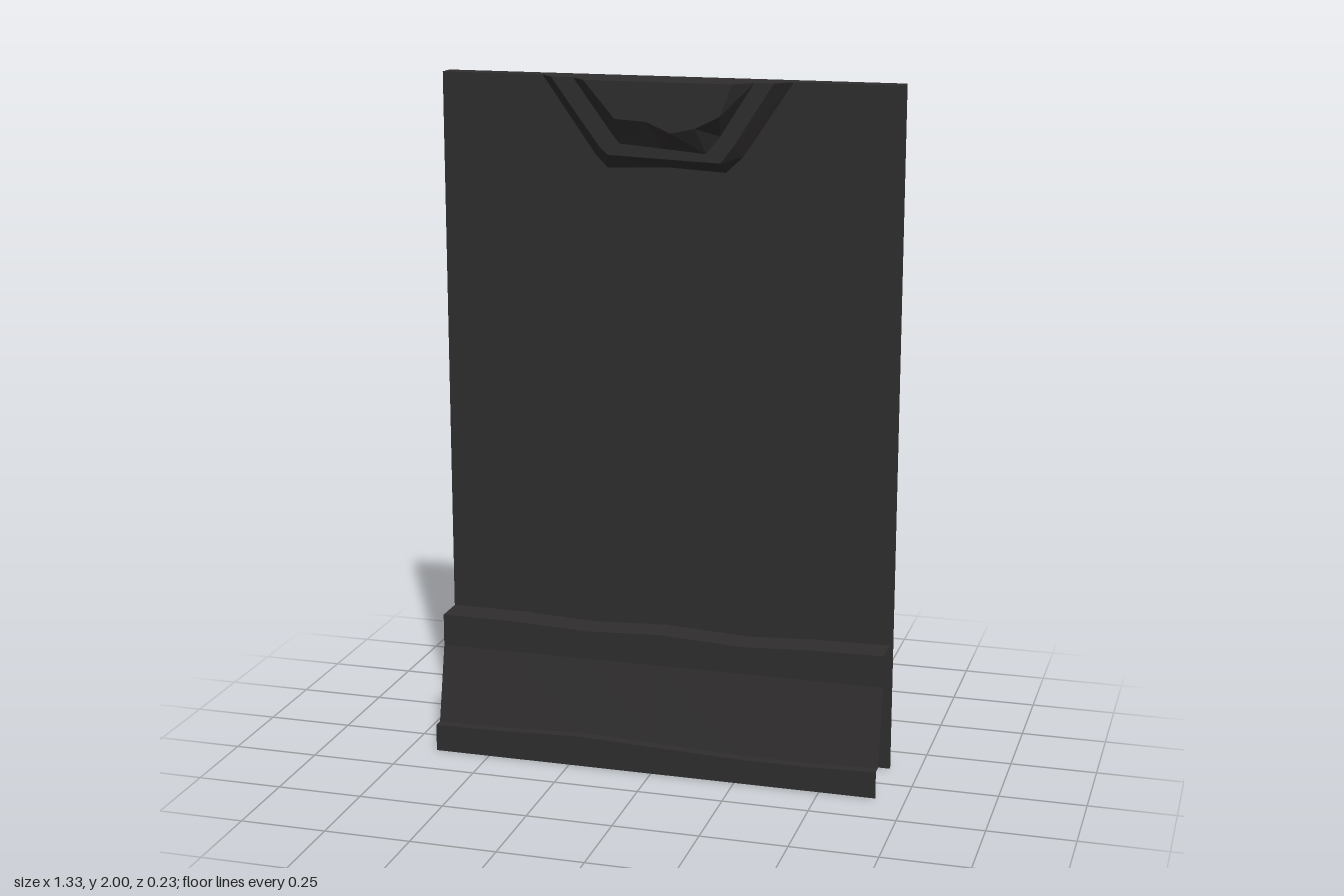
import * as THREE from 'three';

const W = 0.665, BACK = -0.115, FACE = -0.062, STEP = -0.015, FRONT = 0.036;

const material = new THREE.MeshStandardMaterial({
  color: 0x2f2d2d, flatShading: true, side: THREE.DoubleSide,
});

// Joins rows of [x, y, z] points, listed top to bottom and left to right
function loft(rows) {
  const pos = [];
  for (let i = 0; i < rows.length - 1; i++) {
    for (let j = 0; j < rows[i].length - 1; j++) {
      const a = rows[i][j], b = rows[i + 1][j];
      const c = rows[i + 1][j + 1], d = rows[i][j + 1];
      pos.push(...a, ...b, ...c, ...a, ...c, ...d);
    }
  }
  const g = new THREE.BufferGeometry();
  g.setAttribute('position', new THREE.Float32BufferAttribute(pos, 3));
  g.computeVertexNormals();
  return g;
}

// Flat polygon from [x, y] points
const flat = (pts) => new THREE.ShapeGeometry(
  new THREE.Shape(pts.map(([x, y]) => new THREE.Vector2(x, y))));

export function createModel() {
  const group = new THREE.Group();
  const add = (name, geometry) => {
    const mesh = new THREE.Mesh(geometry, material);
    mesh.name = name;
    group.add(mesh);
    return mesh;
  };

  // Stepped crest outlines, from the wall outwards
  const outer = [[-0.365, 2], [-0.21, 1.78], [-0.175, 1.745], [0, 1.752], [0.17, 1.743], [0.22, 1.79], [0.36, 2]];
  const stepOuter = [[-0.325, 2], [-0.185, 1.81], [-0.16, 1.787], [0, 1.781], [0.165, 1.775], [0.2, 1.82], [0.315, 2]];
  const stepInner = [[-0.26, 2], [-0.15, 1.85], [-0.125, 1.82], [0, 1.81], [0.125, 1.80], [0.165, 1.85], [0.26, 2]];
  const inner = [[-0.215, 2], [-0.125, 1.895], [-0.035, 1.89], [0.035, 1.86], [0.105, 1.875], [0.175, 1.91], [0.21, 2]];
  const at = (pts, z) => pts.map(([x, y]) => [x, y, z]);

  // Slightly uneven heights of the two skirting ledges
  const stations = [-W, -0.45, -0.22, 0, 0.25, 0.45, W];
  const upper = [0.4, 0.4, 0.39, 0.4, 0.387, 0.397, 0.4];
  const lower = [0.08, 0.083, 0.092, 0.083, 0.074, 0.073, 0.08];
  const row = (ys, z) => stations.map((x, i) => [x, Array.isArray(ys) ? ys[i] : ys, z]);

  // Back of the wall
  const back = add('backPanel', new THREE.PlaneGeometry(2 * W, 2));
  back.rotation.y = Math.PI;
  back.position.set(0, 1, BACK);

  // Front of the wall, notched around the crest and ending at the upper ledge
  const bottomEdge = stations.map((x, i) => [x, upper[i]]);
  add('frontPanel', flat([...bottomEdge, [W, 2], ...[...outer].reverse(), [-W, 2]]))
    .position.z = FACE;

  // Top cap follows the stepped plan of the crest
  const top = add('topCap', flat([
    [-W, -FACE], [-0.365, -FACE], [-0.325, -STEP], [-0.26, -STEP], [-0.215, -FRONT],
    [0.21, -FRONT], [0.26, -STEP], [0.315, -STEP], [0.36, -FACE], [W, -FACE],
    [W, -BACK], [-W, -BACK],
  ]));
  top.rotation.x = -Math.PI / 2;
  top.position.y = 2;

  // Crest: two bevels with a flat step between, and a flat face
  add('crestSteps', loft([at(inner, FRONT), at(stepInner, STEP), at(stepOuter, STEP), at(outer, FACE)]));
  add('crestFace', flat(inner)).position.z = FRONT;

  // Skirting: ledge, upright band, sloping board, small ledge and base strip
  add('skirting', loft([
    row(upper, FACE), row(upper, 0.032), row(0.305, 0.032),
    row(lower, 0.082), row(lower, 0.113), row(0, 0.113),
  ]));

  return group;
}
